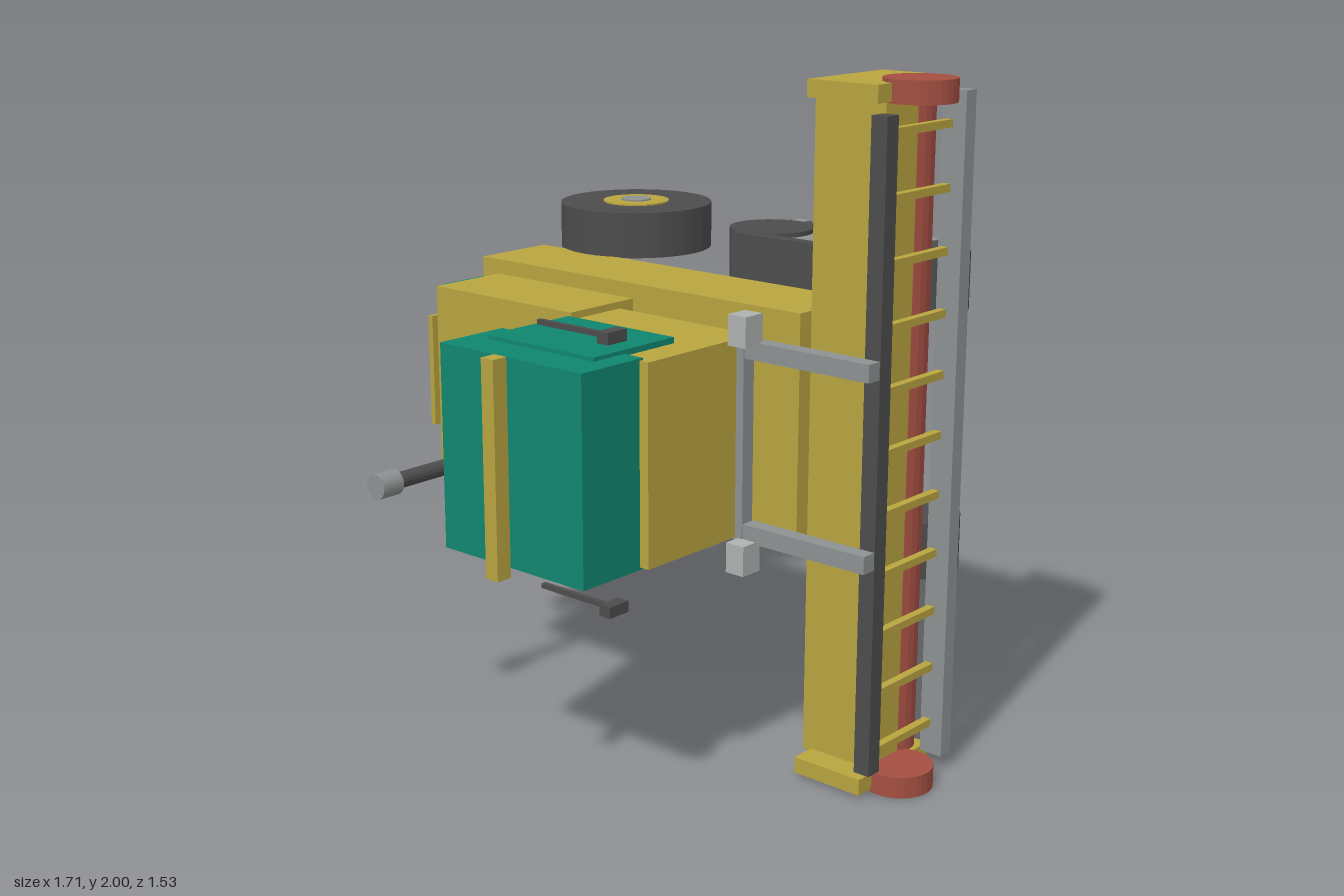
import * as THREE from 'three';

const mat = (name, color, flatShading = false) => {
  const m = new THREE.MeshStandardMaterial({ color });
  m.name = name;
  m.flatShading = flatShading;
  return m;
};

export function createModel() {
  const yellow = mat('yellowPaint', 0xb8a43f);
  const green = mat('greenPanel', 0x10866f);
  const red = mat('redReel', 0xa44f42, true);
  const dark = mat('darkRubber', 0x4c4c4c, true);
  const grey = mat('greySteel', 0x8d9191);
  const pale = mat('paleSteel', 0xaeb1b0);

  const model = new THREE.Group();
  model.name = 'harvester';

  // Box given by its limits along each axis
  const box = (name, m, [x0, x1], [y0, y1], [z0, z1], parent = model) => {
    const mesh = new THREE.Mesh(new THREE.BoxGeometry(x1 - x0, y1 - y0, z1 - z0), m);
    mesh.position.set((x0 + x1) / 2, (y0 + y1) / 2, (z0 + z1) / 2);
    mesh.name = name;
    parent.add(mesh);
    return mesh;
  };
  // Cylinder along y
  const cyl = (name, m, r, length, x, y, z, parent = model, sides = 32) => {
    const mesh = new THREE.Mesh(new THREE.CylinderGeometry(r, r, length, sides), m);
    mesh.position.set(x, y, z);
    mesh.name = name;
    parent.add(mesh);
    return mesh;
  };

  // Body and cab (x is forward, z is the machine's upward direction)
  box('chassis', yellow, [-0.79, 0.465], [0.655, 1.35], [-0.31, -0.04]);
  box('grainTank', yellow, [-0.72, -0.155], [0.7, 1.305], [-0.04, 0.22]);
  box('cabBase', yellow, [-0.143, 0.36], [0.72, 1.288], [0.03, 0.465]);
  box('cab', green, [-0.195, 0.33], [0.713, 1.294], [0.452, 0.683]);
  box('sideWindows', green, [-0.13, 0.265], [0.705, 1.305], [0.255, 0.57]);
  box('roofBar', yellow, [0.045, 0.09], [0.7, 1.305], [0.712, 0.76]);
  box('rearPanel', green, [-0.837, -0.79], [0.73, 1.275], [-0.1, 0.085]);
  box('rearFlap', yellow, [-0.857, -0.839], [0.83, 1.18], [0.063, 0.135]);

  // Exhaust
  cyl('exhaustPipe', dark, 0.024, 0.335, -0.55, 0.8, 0.388, model, 16).rotation.x = Math.PI / 2;
  cyl('exhaustCap', grey, 0.038, 0.075, -0.55, 0.8, 0.592, model, 16).rotation.x = Math.PI / 2;

  // Side platform and ladder rail
  box('platform', pale, [-0.36, -0.09], [0.51, 0.655], [-0.285, -0.235]);
  box('ladderRail', grey, [-0.665, -0.625], [0.645, 0.675], [-0.1, 0.085]);

  // Rear wheels, tracks, mirrors and front arms on both sides
  for (const s of [-1, 1]) {
    const side = (a, b) => (s > 0 ? [1 + a, 1 + b] : [1 - b, 1 - a]);

    const wheel = new THREE.Group();
    wheel.name = 'rearWheel';
    wheel.position.set(-0.582, 1 + s * 0.418, -0.525);
    cyl('tyre', dark, 0.242, 0.142, 0, 0, 0, wheel, 36);
    cyl('hub', yellow, 0.105, 0.152, 0, 0, 0, wheel);
    cyl('hubCap', grey, 0.048, 0.162, 0, 0, 0, wheel, 16);
    model.add(wheel);

    const track = new THREE.Group();
    track.name = 'track';
    track.position.set(0.276, 1 + s * 0.392, -0.5);
    for (const x of [-0.28, 0.28]) cyl('trackDrum', dark, 0.128, 0.168, x, 0, 0, track);
    for (let i = 0; i < 5; i++) cyl('roller', grey, 0.095, 0.14, (i - 2) * 0.09, 0, 0, track, 20);
    box('upperBelt', dark, [-0.313, 0.313], [-0.083, 0.083], [0.108, 0.15], track);
    box('lowerBelt', dark, [-0.313, 0.313], [-0.083, 0.083], [-0.15, -0.1], track);
    for (let i = 0; i < 8; i++) {
      const x = (i - 3.5) * 0.08;
      box('lug', grey, [x - 0.024, x + 0.024], [-0.085, 0.085], [-0.166, -0.13], track);
    }
    model.add(track);

    box('mirrorArm', dark, [0.06, 0.31], side(0.362, 0.376), [0.553, 0.568]);
    box('mirror', dark, [0.305, 0.342], side(0.354, 0.386), [0.525, 0.597]);
    box('frontArm', grey, [0.255, 0.8], side(0.237, 0.287), [0.055, 0.102]);
    box('headlight', pale, [0.37, 0.432], side(0.28, 0.367), [0.083, 0.155]);

    // Header ends
    box('headerEnd', yellow, [0.5, 0.728], side(0.942, 0.99), [-0.342, -0.005]);
    cyl('reelDisc', red, 0.1, 0.063, 0.75, 1 + s * 0.9685, -0.163);
  }
  box('armCrossbar', grey, [0.36, 0.385], [0.72, 1.288], [0.06, 0.105]);

  // Header, auger, reel bar with tines and cutter bar
  box('header', yellow, [0.47, 0.7], [0.05, 1.955], [-0.245, -0.083]);
  cyl('auger', red, 0.07, 1.9, 0.645, 1, -0.272, model, 20);
  box('cutterBar', grey, [0.727, 0.8], [0.047, 1.957], [-0.352, -0.305]);
  box('reelBar', dark, [0.725, 0.775], [0.09, 1.915], [-0.033, 0.017]);
  for (let i = 0; i < 11; i++) {
    const y = 1.005 + (i - 5) * 0.1725;
    box('tine', yellow, [0.736, 0.76], [y - 0.011, y + 0.011], [-0.308, -0.03]);
  }

  return model;
}
